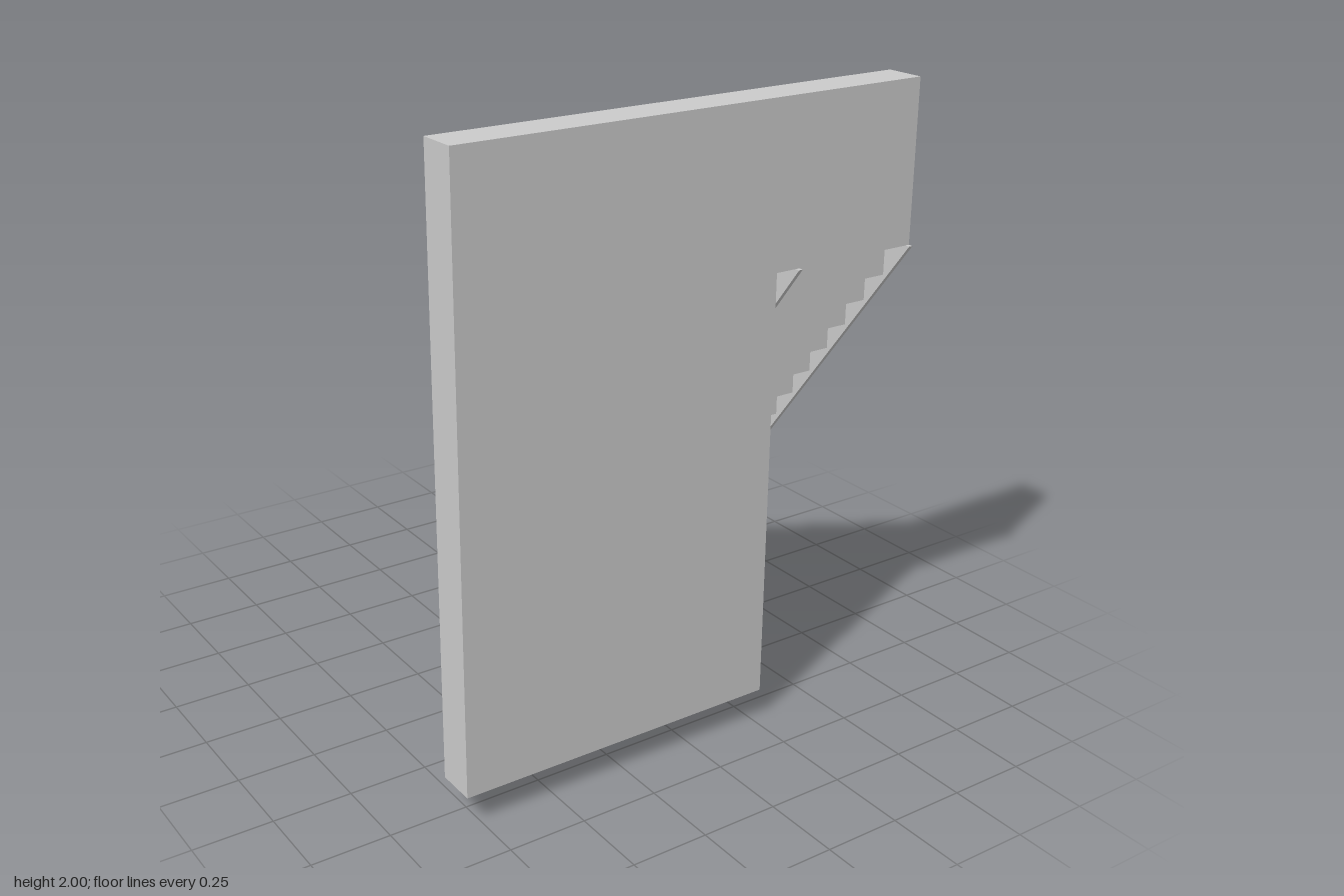
import * as THREE from 'three';

const material = new THREE.MeshStandardMaterial({ color: 0xcccccc, flatShading: true });

// Extrudes a closed outline of [x, y] points along +z.
function extrude(points, depth) {
  const shape = new THREE.Shape(points.map(([x, y]) => new THREE.Vector2(x, y)));
  return new THREE.ExtrudeGeometry(shape, { depth, bevelEnabled: false });
}

function addMesh(parent, name, geometry) {
  const mesh = new THREE.Mesh(geometry, material);
  mesh.name = name;
  parent.add(mesh);
  return mesh;
}

export function createModel() {
  const model = new THREE.Group();
  model.name = 'staircaseWithWall';

  const right = 0.797, stairLeft = 0.347, board = 0.014, headY = 1.485;

  // Wall with an opening at its lower corner for the stair
  const wall = addMesh(model, 'wall', extrude([
    [-right, 0.1], [0.277, 0.1], [0.277, headY], [right, headY], [right, 2], [-right, 2],
  ], 0.13));
  wall.position.z = 0.463;

  const stair = new THREE.Group();
  stair.name = 'stair';
  model.add(stair);

  // Two sloping side boards; the outline is [-z, y], turned to extrude along +x
  const side = extrude([
    [-0.609, headY], [0.525, 0], [0.609, 0], [0.609, 0.13], [-0.43, headY],
  ], board);
  side.rotateY(Math.PI / 2);
  for (const [name, x] of [['rightStringer', stairLeft], ['leftStringer', right - board]]) {
    addMesh(stair, name, side).position.x = x;
  }

  // Upright riser boards, each slightly overlapping the next in height
  const riserHeight = 0.115;
  const riser = new THREE.BoxGeometry(right - stairLeft - 2 * board, riserHeight, 0.01);
  for (let i = 0; i < 14; i++) {
    addMesh(stair, `riser${i + 1}`, riser).position.set(
      (stairLeft + right) / 2, 0.012 + riserHeight / 2 + i * 0.1044, -0.538 + i * 0.0798);
  }

  return model;
}
